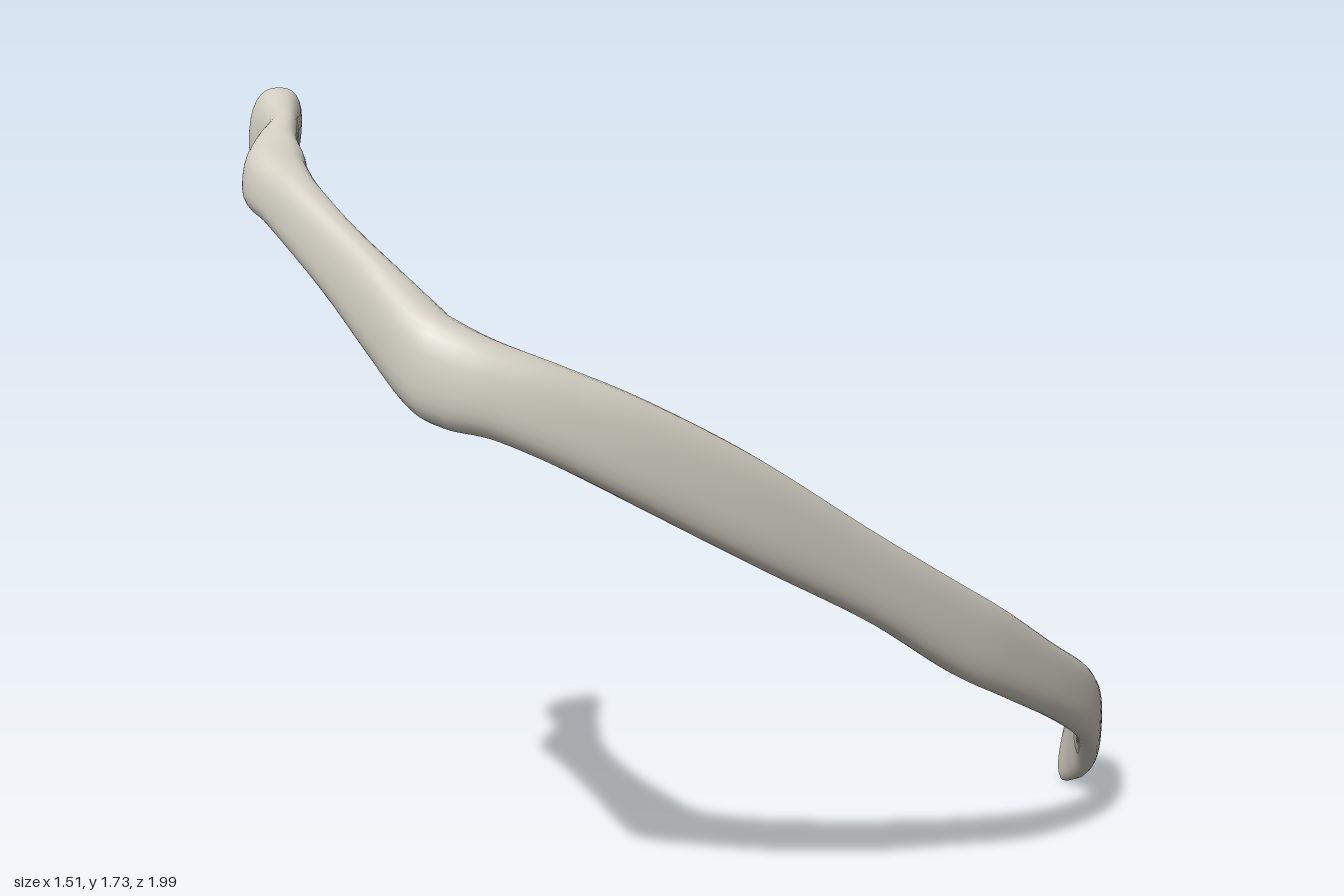
import * as THREE from 'three';

// Stations from the head to the far end: x, z, top y, bottom y, thickness, lean along the path, tilt inward
const STATIONS = [
  [-0.727, 0.552, 1.705, 1.59, 0.09],
  [-0.705, 0.575, 1.73, 1.545, 0.112],
  [-0.65, 0.625, 1.7, 1.535, 0.088],
  [-0.6, 0.675, 1.68, 1.53, 0.075],
  [-0.555, 0.742, 1.655, 1.505, 0.1],
  [-0.51, 0.79, 1.625, 1.48, 0.13],
  [-0.45, 0.822, 1.59, 1.455, 0.11],
  [-0.38, 0.85, 1.555, 1.41, 0.09],
  [-0.25, 0.885, 1.48, 1.32, 0.08],
  [-0.12, 0.915, 1.41, 1.22, 0.095],
  [0, 0.935, 1.34, 1.13, 0.125],
  [0.06, 0.928, 1.31, 1.1, 0.122],
  [0.14, 0.89, 1.27, 1.08, 0.11],
  [0.24, 0.81, 1.22, 1.02, 0.098],
  [0.35, 0.68, 1.145, 0.925, 0.09],
  [0.47, 0.48, 1.02, 0.795, 0.082],
  [0.58, 0.22, 0.845, 0.645, 0.078],
  [0.655, 0, 0.71, 0.5, 0.075],
  [0.695, -0.18, 0.61, 0.41, 0.072],
  [0.71, -0.4, 0.49, 0.31, 0.07],
  [0.692, -0.6, 0.4, 0.21, 0.064],
  [0.632, -0.78, 0.31, 0.1, 0.062, 0.01, 0],
  [0.58, -0.87, 0.265, 0.04, 0.066, 0.022, -0.012],
  [0.523, -0.94, 0.195, 0.005, 0.07, 0.035, -0.026],
];
const RINGS = 184, SIDES = 28;

const curve = (fn) => new THREE.CatmullRomCurve3(STATIONS.map(fn), false, 'catmullrom', 0.5);

function boneGeometry() {
  const centre = curve(([x, z, top, bottom]) => new THREE.Vector3(x, (top + bottom) / 2, z));
  const size = curve(([, , top, bottom, t]) => new THREE.Vector3((top - bottom) / 2, t / 2, 0));
  const skew = curve(([, , , , , lean = 0, tilt = 0.01]) => new THREE.Vector3(lean, tilt, 0));
  const up = new THREE.Vector3(0, 1, 0);
  const positions = [], index = [];
  const soften = (v) => Math.sign(v) * Math.abs(v) ** 0.8;

  // Upright rounded sections swept along the curve
  for (let i = 0; i <= RINGS; i++) {
    const u = i / RINGS;
    const c = centre.getPoint(u), s = size.getPoint(u), k = skew.getPoint(u);
    const along = centre.getTangent(u).setY(0).normalize();
    const out = new THREE.Vector3().crossVectors(along, up);
    for (let j = 0; j < SIDES; j++) {
      const a = (j / SIDES) * Math.PI * 2;
      const w = soften(Math.cos(a)), h = soften(Math.sin(a));
      const p = c.clone().addScaledVector(up, s.x * h)
        .addScaledVector(out, s.y * w - k.y * h)
        .addScaledVector(along, k.x * h);
      positions.push(p.x, p.y, p.z);
    }
  }
  for (let i = 0; i < RINGS; i++) {
    for (let j = 0; j < SIDES; j++) {
      const n = (j + 1) % SIDES;
      const a = i * SIDES + j, b = i * SIDES + n, c = a + SIDES, d = b + SIDES;
      index.push(a, c, d, a, d, b);
    }
  }

  // Rounded cap on the head
  const head = positions.length / 3;
  const tip = centre.getPoint(0).addScaledVector(centre.getTangent(0).setY(0).normalize(), -0.014);
  positions.push(tip.x, tip.y, tip.z);
  for (let j = 0; j < SIDES; j++) index.push(head, j, (j + 1) % SIDES);

  // Flat, sharp-edged cap on the far end, slightly hollow
  const rim = positions.length / 3;
  positions.push(...positions.slice(RINGS * SIDES * 3, (RINGS + 1) * SIDES * 3));
  const end = centre.getPoint(1).addScaledVector(centre.getTangent(1), -0.008);
  positions.push(end.x, end.y, end.z);
  for (let j = 0; j < SIDES; j++) index.push(rim + SIDES, rim + ((j + 1) % SIDES), rim + j);

  const geometry = new THREE.BufferGeometry();
  geometry.setAttribute('position', new THREE.Float32BufferAttribute(positions, 3));
  geometry.setIndex(index);
  geometry.computeVertexNormals();
  return geometry;
}

export function createModel() {
  const bone = new THREE.MeshStandardMaterial({ color: 0xd0ccc0 });
  bone.name = 'bone';
  const rib = new THREE.Mesh(boneGeometry(), bone);
  rib.name = 'rib';
  const group = new THREE.Group();
  group.name = 'ribBone';
  group.add(rib);
  return group;
}
